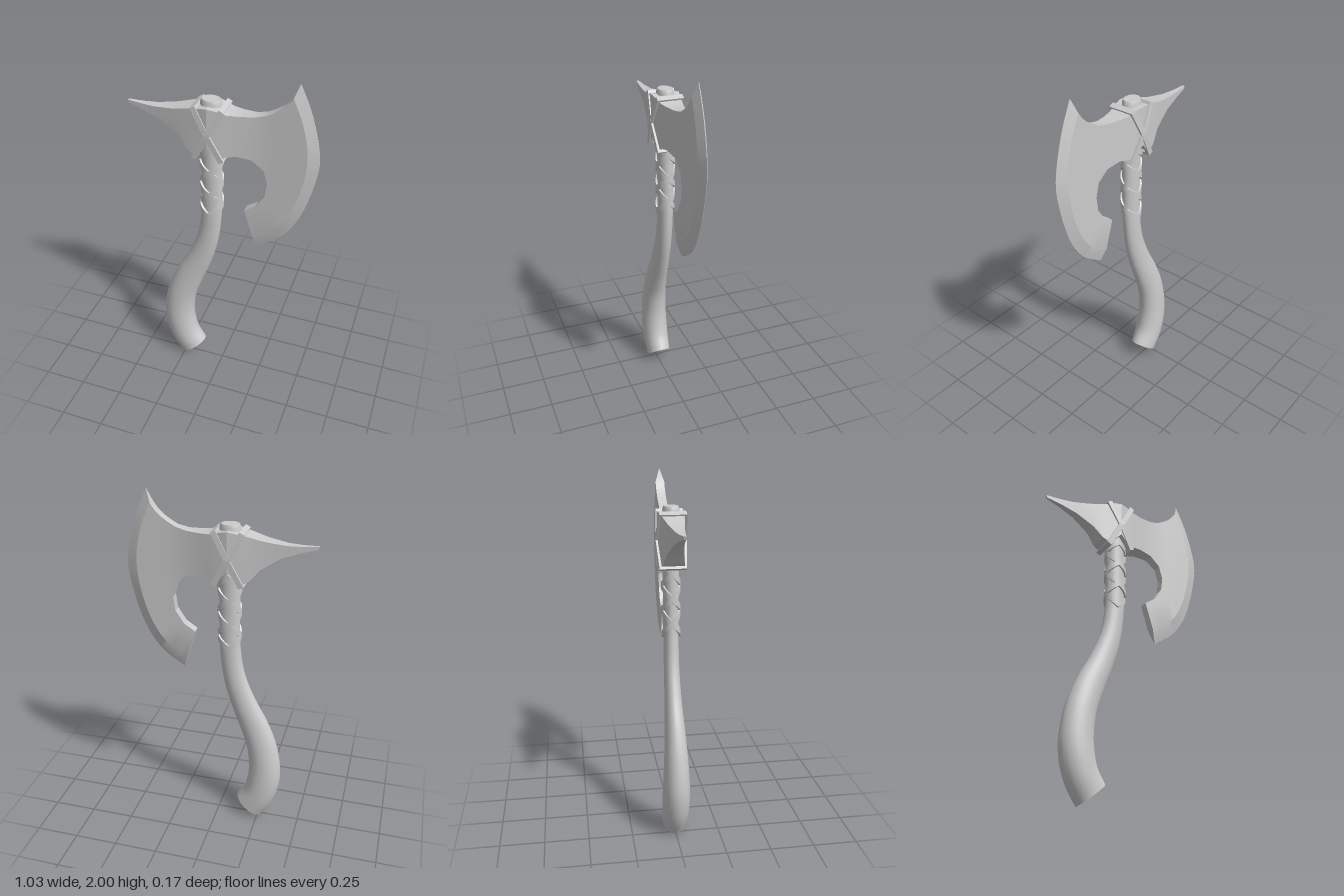
import * as THREE from 'three';
import { toCreasedNormals } from 'three/addons/utils/BufferGeometryUtils.js';

const V = (x, y, z) => new THREE.Vector3(x, y, z);
const material = new THREE.MeshStandardMaterial({ color: 0xcccccc });

// Skin a list of closed rings (right-handed about the direction of travel), capping both ends.
function loft(rings, crease) {
  const n = rings[0].length, last = rings.length - 1, index = [];
  for (let i = 0; i < last; i++) {
    for (let j = 0; j < n; j++) {
      const a = i * n + j, b = i * n + (j + 1) % n;
      index.push(a, b, b + n, a, b + n, a + n);
    }
  }
  // Caps are zipped across so that long thin ends stay valid
  for (let j = 0, k = n - 1; k - j > 1; j++, k--) {
    const e = last * n;
    index.push(j, k, j + 1, e + j, e + j + 1, e + k);
    if (k - j > 2) index.push(j + 1, k, k - 1, e + j + 1, e + k - 1, e + k);
  }
  const geometry = new THREE.BufferGeometry().setFromPoints(rings.flat());
  geometry.setIndex(index);
  return toCreasedNormals(geometry, crease);
}

function add(parent, name, geometry) {
  const mesh = new THREE.Mesh(geometry, material);
  mesh.name = name;
  parent.add(mesh);
}

// Curved haft: each station is left x, left y, right x, right y, half depth
function haft() {
  const stations = [
    [-0.27, 0.005, -0.118, 0.13, 0.07], [-0.333, 0.11, -0.162, 0.205, 0.076],
    [-0.37, 0.23, -0.182, 0.29, 0.077], [-0.378, 0.35, -0.187, 0.38, 0.073],
    [-0.35, 0.52, -0.172, 0.5, 0.065], [-0.29, 0.68, -0.13, 0.63, 0.055],
    [-0.21, 0.83, -0.078, 0.77, 0.047], [-0.15, 0.98, -0.032, 0.93, 0.043],
    [-0.125, 1.12, -0.008, 1.1, 0.042], [-0.118, 1.25, -0.002, 1.25, 0.042],
    [-0.117, 1.5, -0.003, 1.5, 0.044], [-0.116, 1.835, -0.004, 1.835, 0.045],
  ];
  const left = new THREE.CatmullRomCurve3(stations.map(s => V(s[0], s[1], s[4])));
  const right = new THREE.CatmullRomCurve3(stations.map(s => V(s[2], s[3], s[4])));
  const ring = (l, r, scale) => Array.from({ length: 24 }, (_, j) => {
    const a = j / 24 * Math.PI * 2, mid = l.clone().add(r).multiplyScalar(0.5);
    const half = r.clone().sub(l).multiplyScalar(0.5 * scale * Math.sin(a));
    return V(mid.x + half.x, mid.y + half.y, l.z * scale * Math.cos(a));
  });
  const rings = [];
  for (let i = 0; i <= 55; i++) rings.push(ring(left.getPoint(i / 55), right.getPoint(i / 55), 1));
  // Chamfered top end
  rings.push(ring(V(-0.116, 1.85, 0.045), V(-0.004, 1.85, 0.045), 0.87));
  return loft(rings, 0.6);
}

// Axe head: half thickness, then the section's centre line from top to bottom
function head() {
  const sections = [
    [0.007, [-0.52, 1.768], [-0.515, 1.752]],
    [0.016, [-0.44, 1.764], [-0.43, 1.73]],
    [0.026, [-0.36, 1.765], [-0.333, 1.695]],
    [0.042, [-0.254, 1.78], [-0.23, 1.63]],
    [0.057, [-0.155, 1.805], [-0.175, 1.565]],
    [0.063, [-0.13, 1.812], [-0.13, 1.54]],
    [0.076, [-0.06, 1.825], [-0.06, 1.61]],
    [0.063, [0.01, 1.812], [0.01, 1.54]],
    [0.057, [0.04, 1.8], [0.035, 1.558]],
    [0.043, [0.1, 1.797], [0.09, 1.566]],
    [0.031, [0.17, 1.8], [0.17, 1.553]],
    [0.025, [0.23, 1.815], [0.233, 1.5]],
    [0.025, [0.275, 1.84], [0.3, 1.62], [0.254, 1.42]],
    [0.025, [0.31, 1.865], [0.36, 1.6], [0.243, 1.34]],
    [0.025, [0.34, 1.895], [0.39, 1.6], [0.31, 1.37], [0.196, 1.267]],
    [0.025, [0.355, 1.915], [0.42, 1.62], [0.35, 1.32], [0.132, 1.225]],
    [0.025, [0.365, 1.93], [0.42, 1.8], [0.455, 1.63], [0.44, 1.45],
      [0.385, 1.27], [0.3, 1.14], [0.18, 1.065]],
    [0.001, [0.39, 2], [0.46, 1.84], [0.513, 1.62], [0.497, 1.45],
      [0.434, 1.235], [0.34, 1.085], [0.206, 0.987]],
  ];
  return loft(sections.map(([z, ...points]) => {
    const curve = new THREE.SplineCurve(points.map(p => new THREE.Vector2(...p)));
    const line = curve.getSpacedPoints(20);
    return [...line.map(p => V(p.x, p.y, z)), ...line.reverse().map(p => V(p.x, p.y, -z))];
  }), 0.35);
}

// Ribbon spiralling up the haft; hand is +1 or -1
function ribbon(hand, start) {
  const rings = [], steps = 64, bottom = 1.155, top = 1.57, pitch = 0.276;
  for (let i = 0; i <= steps; i++) {
    const y = bottom + (top - bottom) * i / steps;
    const a = start + hand * (y - bottom) / pitch * Math.PI * 2;
    const centre = -0.06 - Math.max(0, 1.22 - y) * 0.09;
    const at = (out, up) => V(centre + (0.056 + out) * Math.sin(a), y + up, (0.041 + out) * Math.cos(a));
    const ring = [at(0.011, 0.018), at(0.011, -0.018), at(-0.006, -0.02), at(-0.006, 0.02)];
    rings.push(hand > 0 ? ring : ring.reverse());
  }
  return loft(rings, 0.5);
}

// Six-sided ring strapped diagonally around the head
function strap(side) {
  const outline = (u, zEnd, zMid) => [[-u, -zEnd], [0, -zMid], [u, -zEnd], [u, zEnd], [0, zMid], [-u, zEnd]]
    .map(p => new THREE.Vector2(...p));
  const shape = new THREE.Shape(outline(0.166, 0.072, 0.084));
  shape.holes.push(new THREE.Path(outline(0.146, 0.05, 0.062)));
  const geometry = new THREE.ExtrudeGeometry(shape, { depth: 0.03, bevelEnabled: false });
  geometry.translate(0, 0, -0.015).rotateX(Math.PI / 2);
  return geometry.rotateZ(Math.PI / 2 + side * 0.48).translate(-0.06, 1.675, 0);
}

export function createModel() {
  const model = new THREE.Group();
  model.name = 'battleAxe';
  add(model, 'haft', haft());
  add(model, 'axeHead', head());

  const bindings = new THREE.Group();
  bindings.name = 'bindings';
  model.add(bindings);
  for (const side of [-1, 1]) {
    add(bindings, 'headStrap', strap(side));
    for (const start of [0, Math.PI]) add(bindings, 'haftWrap', ribbon(side, start));
  }
  return model;
}
